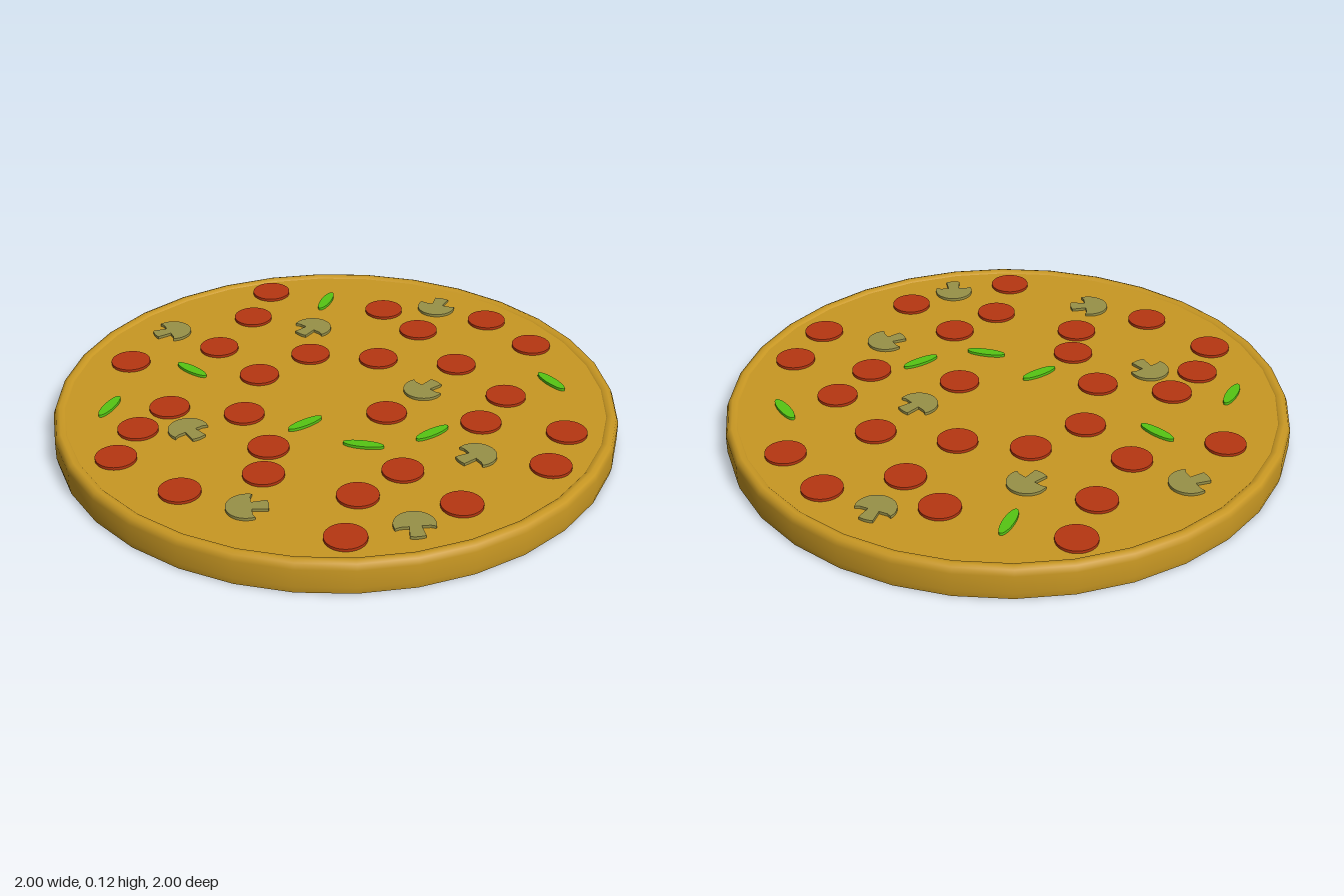
import * as THREE from 'three';

const SIDES = 32;
const CHEESE_Y = 0.109;
const TOPPING_Y = 0.119;

const paint = (name, color) => {
  const m = new THREE.MeshStandardMaterial({ color });
  m.name = name;
  return m;
};

// Flat plate from a shape drawn in x and z, with its top face at y = 0
function plate(shape, segments) {
  const g = new THREE.ExtrudeGeometry(shape, {
    depth: TOPPING_Y - CHEESE_Y, bevelEnabled: false, curveSegments: segments,
  });
  return g.rotateX(Math.PI / 2);
}

// Mushroom slice: round cap, two notches and a short stem towards +x
function mushroomShape() {
  const s = new THREE.Shape();
  s.absarc(0, 0, 0.07, 0.95 + 0.3, Math.PI * 2 - 1.25, false);
  s.lineTo(0.015, -0.05);
  s.lineTo(0.015, -0.02);
  s.lineTo(0.068, -0.026);
  s.quadraticCurveTo(0.076, 0, 0.068, 0.026);
  s.lineTo(0.015, 0.02);
  s.lineTo(0.015, 0.05);
  s.closePath();
  return s;
}

export function createModel() {
  const pizza = new THREE.Group();
  pizza.name = 'pizza';
  const dough = paint('golden dough', 0xc99823);
  const meat = paint('pepperoni red', 0xb63611);
  const green = paint('pepper green', 0x56c614);
  const grey = paint('mushroom grey', 0x989148);

  const add = (name, geometry, material, x = 0, y = 0, z = 0, turn = 0) => {
    const mesh = new THREE.Mesh(geometry, material);
    mesh.name = name;
    mesh.position.set(x, y, z);
    mesh.rotation.y = turn;
    pizza.add(mesh);
  };

  // Crust: rounded outer wall and a low raised rim
  const profile = [
    [0.995, 0], [1, 0.025], [1, 0.09], [0.992, 0.111],
    [0.978, 0.117], [0.962, 0.114], [0.955, CHEESE_Y - 0.002],
  ].map(([r, y]) => new THREE.Vector2(r, y));
  add('crust', new THREE.LatheGeometry(profile, SIDES), dough);
  add('base', new THREE.CircleGeometry(0.995, SIDES).rotateX(Math.PI / 2), dough);

  // Eight slices of cheese
  const slice = new THREE.CircleGeometry(0.957, SIDES / 8, 0, Math.PI / 4).rotateX(-Math.PI / 2);
  for (let i = 0; i < 8; i++) add('cheeseSlice', slice, dough, 0, CHEESE_Y, 0, i * Math.PI / 4);

  // Pepperoni: x, z
  const disc = plate(new THREE.Shape().absarc(0, 0, 0.071, 0, Math.PI * 2, false), 24);
  [
    [-0.11, -0.82], [0.14, -0.82], [-0.42, -0.56], [-0.21, -0.56], [0.08, -0.5],
    [0.36, -0.49], [0.67, -0.49], [-0.81, -0.3], [-0.13, -0.3], [0.44, -0.3],
    [0.79, -0.3], [-0.68, -0.12], [-0.31, -0.12], [0.19, -0.08], [-0.56, 0.12],
    [-0.3, 0.12], [0.51, 0.11], [0.78, 0.085], [-0.11, 0.32], [0.12, 0.38],
    [0.535, 0.32], [-0.67, 0.44], [-0.305, 0.505], [0.245, 0.49], [0.695, 0.495],
    [-0.25, 0.67], [-0.14, 0.825], [0.16, 0.765],
  ].forEach(([x, z]) => add('pepperoni', disc, meat, x, TOPPING_Y, z));

  // Mushrooms: x, z and the stem's direction in x, z
  const mushroom = plate(mushroomShape(), 16);
  [
    [-0.31, -0.735, -0.5, -0.85], [-0.47, -0.25, 0.2, 1], [0.145, -0.285, -0.1, -1],
    [0.59, -0.145, -0.1, 1], [-0.775, 0.19, -0.2, 1], [0.775, 0.28, 0.85, 0.5],
    [-0.14, 0.535, 1, 0], [0.37, 0.645, 0.5, -0.85],
  ].forEach(([x, z, dx, dz]) => add('mushroom', mushroom, grey, x, TOPPING_Y, z, Math.atan2(-dz, dx)));

  // Green pepper strips: x, z and the long direction in x, z
  const strip = plate(new THREE.Shape().absellipse(0, 0, 0.071, 0.02, 0, Math.PI * 2, false), 20);
  [
    [0.385, -0.69, 1, 0.06], [-0.615, -0.425, 0.55, 0.85], [0.39, -0.12, 0, 1],
    [0.305, 0.115, 0.75, -0.66], [0.073, 0.19, 0, 1], [-0.48, 0.295, 1, -0.2],
    [-0.44, 0.67, 0.5, 0.87],
  ].forEach(([x, z, dx, dz]) => add('pepperStrip', strip, green, x, TOPPING_Y, z, Math.atan2(-dz, dx)));

  return pizza;
}
